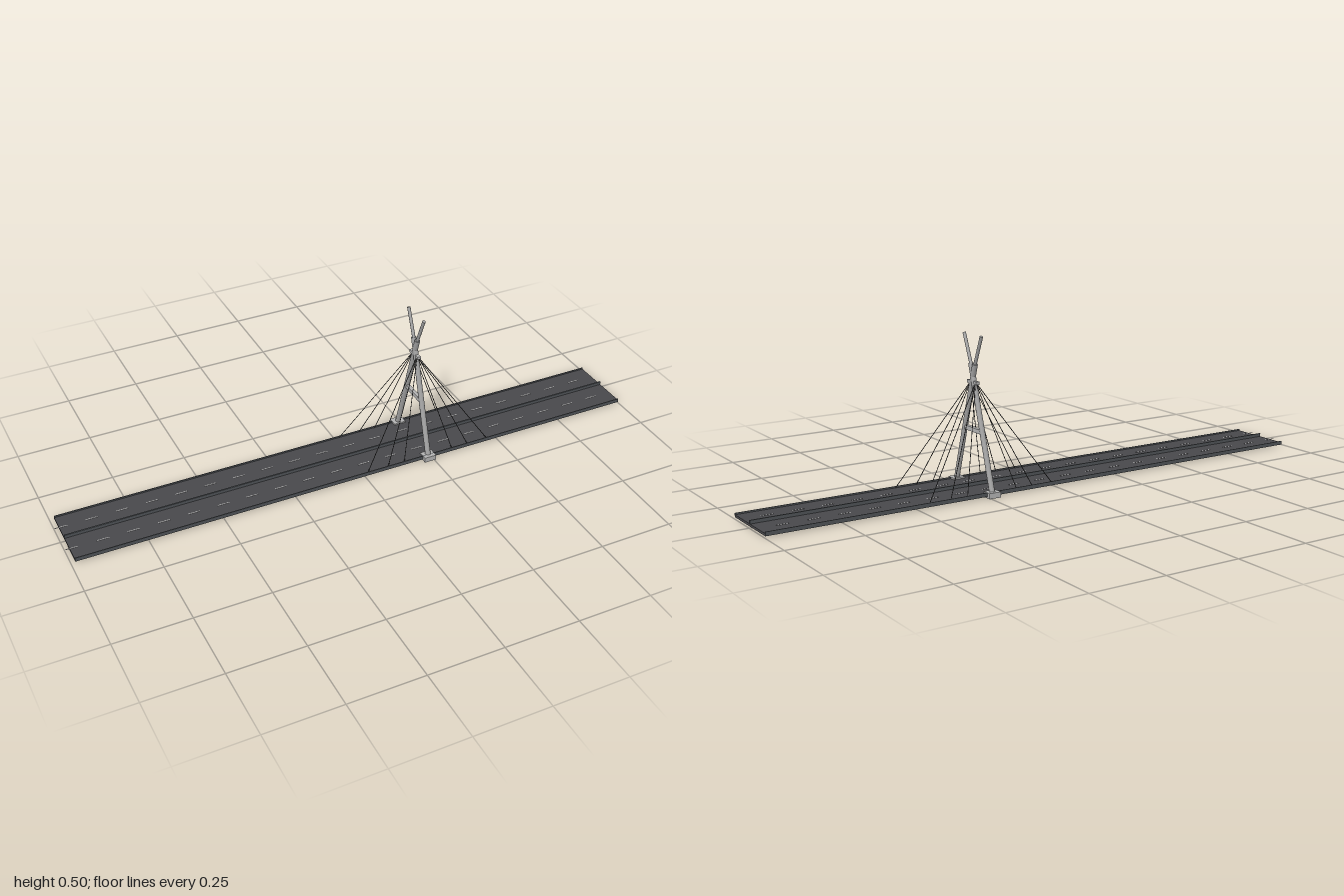
import * as THREE from 'three';

const TOWER_X = 0.235;
const material = (color) => new THREE.MeshStandardMaterial({ color });

export function createModel() {
  const root = new THREE.Group();
  root.name = 'cableStayedBridge';
  const asphalt = material(0x48484b);
  const rail = material(0x505458);
  const paint = material(0xcccccc);
  const concrete = material(0xb4b4b4);
  const steel = material(0xa2a2a2);
  const wire = material(0x333333);

  // Box given by its size and centre
  const box = (name, mat, [w, h, d], [x, y, z], parent = root) => {
    const mesh = new THREE.Mesh(new THREE.BoxGeometry(w, h, d), mat);
    mesh.name = name;
    mesh.position.set(x, y, z);
    parent.add(mesh);
    return mesh;
  };

  // Round bar between two points
  const bar = (name, mat, from, to, radius, sides, parent = root) => {
    const a = new THREE.Vector3(...from);
    const b = new THREE.Vector3(...to);
    const dir = b.clone().sub(a);
    const mesh = new THREE.Mesh(new THREE.CylinderGeometry(radius, radius, dir.length(), sides), mat);
    mesh.name = name;
    mesh.position.copy(a).add(b).multiplyScalar(0.5);
    mesh.quaternion.setFromUnitVectors(new THREE.Vector3(0, 1, 0), dir.normalize());
    parent.add(mesh);
    return mesh;
  };

  // Road deck with central barrier and edge curbs
  const length = 1.984;
  const midX = 0.006;
  box('deck', asphalt, [length, 0.008, 0.228], [midX, 0.009, 0]);
  box('centralBarrier', rail, [length, 0.011, 0.005], [midX, 0.0185, 0]);
  for (const s of [1, -1]) {
    box('edgeCurb', rail, [length, 0.013, 0.003], [midX, 0.0115, s * 0.1128]);
  }

  // Dashed lane lines
  const lanes = new THREE.Group();
  lanes.name = 'laneMarkings';
  root.add(lanes);
  for (const z of [0.057, -0.057]) {
    for (let i = 0; i < 20; i++) {
      box('laneDash', paint, [0.04, 0.001, 0.003], [-0.98 + i * 0.1, 0.0134, z], lanes);
    }
  }

  // Crossed-leg tower
  const tower = new THREE.Group();
  tower.name = 'tower';
  tower.position.x = TOWER_X;
  root.add(tower);
  for (const s of [1, -1]) {
    box('footing', concrete, [0.042, 0.018, 0.035], [0, 0.009, s * 0.1105], tower);
    bar('leg', steel, [0, 0.012, s * 0.11], [0, 0.409, -s * 0.0125], 0.009, 16, tower);
    bar('upperMast', steel, [0, 0.405, s * 0.011], [0, 0.502, s * 0.052], 0.0055, 16, tower);
  }
  box('crossBeam', concrete, [0.012, 0.014, 0.104], [0, 0.197, 0], tower);
  box('cableAnchor', concrete, [0.012, 0.01, 0.056], [0, 0.35, 0], tower);

  // Stay cables fanning out to both deck edges
  const cables = new THREE.Group();
  cables.name = 'stayCables';
  cables.position.x = TOWER_X;
  root.add(cables);
  for (const s of [1, -1]) {
    for (const reach of [-0.225, -0.15, -0.09, 0.09, 0.15, 0.225]) {
      bar('cable', wire, [0, 0.352, s * 0.014], [reach, 0.014, s * 0.11], 0.0012, 6, cables);
    }
  }
  return root;
}
